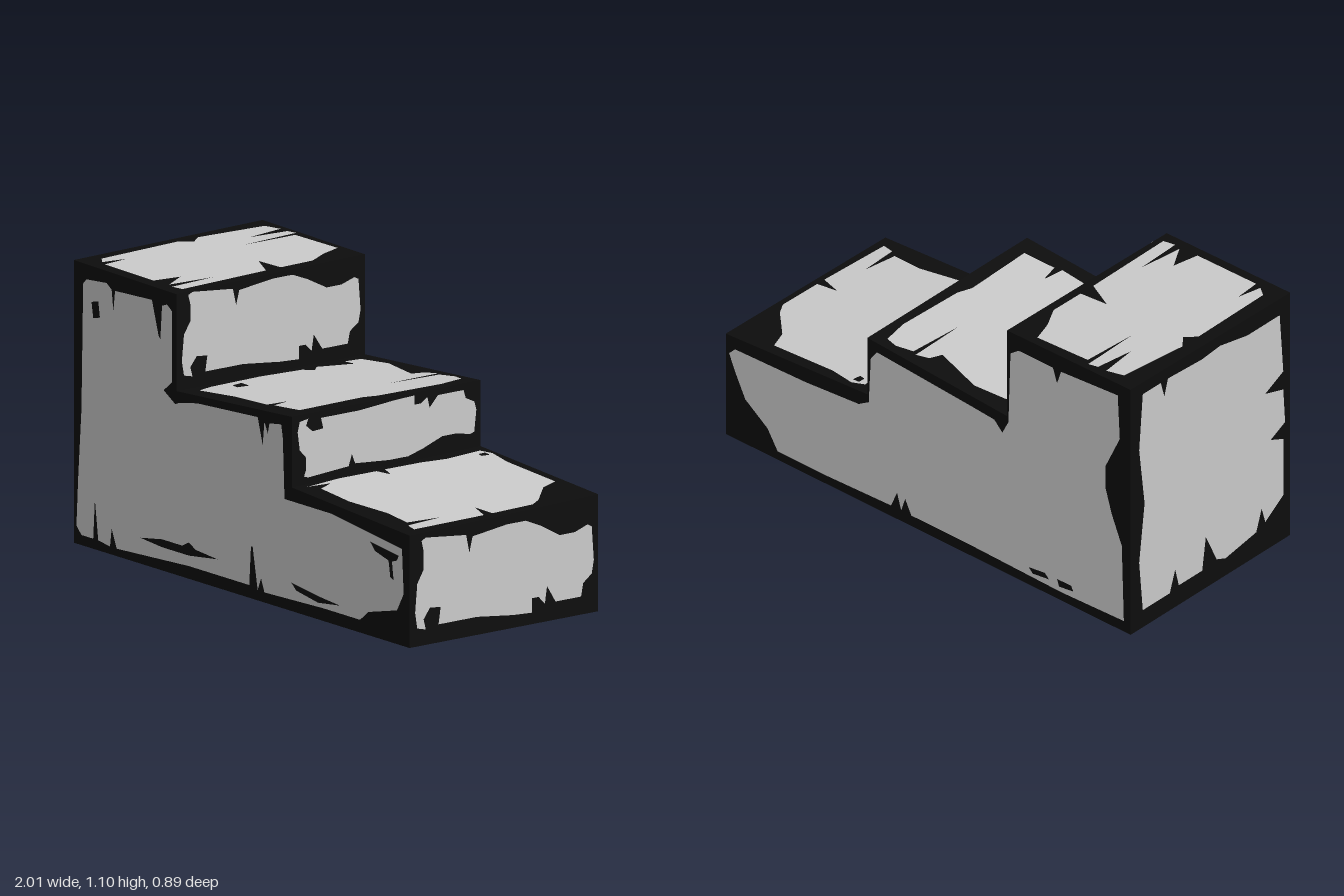
import * as THREE from 'three';

const D = 0.443;      // half depth
const LIFT = 0.004;   // painted panels sit just above the block

// Sloping treads: y = a + b*x + c*z
const treads = {
  lower: { a: 0.498, b: -0.061, c: -0.02 },
  middle: { a: 0.7226, b: 0.058, c: 0 },
  upper: { a: 1.07, b: -0.013, c: -0.014 },
};
const treadY = (t, x, z = 0) => t.a + t.b * x + t.c * z;

// Outlines are flat u,v lists in hundredths of a unit
const toPoints = list => {
  const pts = [];
  for (let i = 0; i < list.length; i += 2) pts.push(new THREE.Vector2(list[i] / 100, list[i + 1] / 100));
  return pts;
};

// Side outline in x,y with drips hanging from the edges
const frontOutline = [
  -94, 100, -92, 102, -80, 103, -77, 101, -76, 93, -75, 101, -53, 102, -49, 89, -48, 88, -47, 101,
  -44, 102, -41, 100, -41, 73, -46, 69, -39, 65, -37, 66, -26, 68, 10, 70, 13, 60, 14, 69, 16, 65,
  17, 69, 24, 70, 25, 65, 26, 42, 54, 42, 96, 37, 97, 20, 93, 13, 76, 9, 71, 5, 49, 5, 14, 4, 12, 9,
  10, 4, 7, 20, 6, 20, 5, 5, -31, 5, -74, 3, -77, 10, -78, 3, -85, 4, -87, 19, -88, 4, -95, 4,
  -98, 7, -97, 25, -95, 52,
];
const frontHoles = [
  [-89, 94, -85, 95, -84, 89, -88, 88],
  [-60, 10, -47, 12, -35, 12, -31, 14, -27, 12, -14, 11, -31, 9, -47, 9],
  [30, 11, 46, 9, 59, 8, 46, 6.5, 33, 8.5],
  [77, 36, 94, 34, 93, 32, 90, 31, 91, 24, 89, 25, 88, 31, 80, 33],
];
const backOutline = [
  98, 37, 95, 40, 60, 41, 34, 43, 29, 46, 28, 66, 25, 70, -20, 67, -33, 66, -37, 62, -40, 68, -41, 99,
  -45, 102, -62, 102, -64, 96, -66, 102, -80, 103, -94, 104, -95, 85, -88, 70, -88, 60, -91, 50,
  -96, 38, -97, 5, -66, 4, -20, 5, 8, 5, 11, 11, 13, 5, 15, 12, 18, 5, 50, 4, 74, 4, 79, 12, 90, 20, 95, 30,
];
const backHoles = [
  [-50, 8, -58, 9, -60, 7, -52, 6],
  [-64, 9, -71, 9, -72, 7, -65, 6],
];

// Riser outline in z,y, reused stretched and flipped on each step
const riserOutline = [
  39, 40, 37, 41, 18, 39, 16.5, 32, 15, 38, -1, 40, -10, 40, -17, 37, -26, 32, -33, 32, -39, 34,
  -41, 33, -42, 20, -41, 15, -37, 12, -36, 7, -24, 7, -20, 13.5, -19, 7, -16, 10, -13, 10, -13, 4.5,
  -4, 5, 13, 7, 31, 7, 30, 13.5, 35, 14, 38, 10, 37, 6, 41, 7, 42, 13, 41, 24, 38, 29, 38, 36,
];
const leftOutline = [
  -38, 104, -28, 104, -26, 97, -24, 104, -5, 103, 5, 104, 20, 101, 38, 101, 40, 75, 30, 70, 40, 67,
  41, 52, 33, 48, 40, 45, 40, 20, 30, 13, 28, 20, 25, 11, 8, 8, 3, 10, -3, 23, -5, 9, -18, 9,
  -20, 17, -23, 8, -38, 8, -40, 30, -37, 55, -40, 80,
];

// Tread outlines in x,z
const treadOutlines = {
  upper: [
    -92, -39, -85, -41, -83, -25, -81, -41, -77, -42, -76, -17, -75, -40, -51, -41, -48, -32, -43, -23,
    -43, -8, -55, -7, -43, -1, -42, 39, -47, 40, -48, 20, -50, 39, -56, 29, -58, 40, -77, 40, -87, 40,
    -88, 29, -90, 39, -94, 36, -95, -1, -91, -5, -95, -10,
  ],
  middle: [
    -32, -37, -18, -39, 3, -33, 5, -38, 10, -40, 10.5, -16, 12, -39, 19, -41, 24, -40, 26, -29, 25, 0,
    23, 6, 24, 36, 10, 37, 8, 29, 7, 38, -13, 37, -32, 39, -34, 32, -35, 8, -33, -10, -29, -13,
    -33, -17, -27, -30, -33, -30,
  ],
  lower: [
    35, -40, 40, -42, 51, -40, 80, -40, 83, -32, 94, -21, 97, -16, 97, 3, 88, 4, 97, 7, 96, 39, 91, 38,
    90, 22, 88, 36, 75, 35, 56, 38, 38, 37, 35, 30, 33.5, 40, 32, 24, 33, 7, 39, 5, 33, 3, 34, -13, 36, -24,
  ],
};
const treadHoles = {
  upper: [],
  middle: [[-31, 20, -25, 21, -26, 26, -30, 25]],
  lower: [[38, -40, 41, -40, 40.5, -36.5, 38, -37]],
};
const bottomOutline = [
  94, 36, 60, 39, 10, 40, -20, 38, -60, 40, -94, 38, -95, 10, -93, -15, -95, -38, -60, -39, -42, -36,
  -20, -39, 20, -40, 45, -38, 70, -33, 76, -24, 90, -21, 95, -12, 96, 10,
];
const bottomHoles = [
  [70, 31, 50, 27, 35, 29, 50, 31],
  [-50, 35, -62, 32, -75, 30, -64, 35],
  [-70, -10, -73, -9, -72, -6, -69, -7],
];

export function createModel() {
  const black = new THREE.MeshStandardMaterial({ color: 0x0d0d0d });
  black.name = 'black edging';
  const grey = new THREE.MeshStandardMaterial({ color: 0xcccccc, side: THREE.DoubleSide });
  grey.name = 'light grey stone';

  const model = new THREE.Group();
  model.name = 'steps';
  const { lower, middle, upper } = treads;

  // Solid stepped block, its treads tilted slightly across the depth
  const profile = new THREE.Shape([
    [-1, 0], [1, 0], [1, treadY(lower, 1)], [0.3, treadY(lower, 0.3)], [0.3, treadY(middle, 0.3)],
    [-0.39, treadY(middle, -0.39)], [-0.39, treadY(upper, -0.39)], [-1, treadY(upper, -1)],
  ].map(p => new THREE.Vector2(...p)));
  const blockGeo = new THREE.ExtrudeGeometry(profile, { depth: 2 * D, bevelEnabled: false });
  blockGeo.translate(0, 0, -D);
  const pos = blockGeo.attributes.position;
  for (let i = 0; i < pos.count; i++) {
    const y = pos.getY(i);
    if (y < 0.1) continue;
    const tread = y < 0.6 ? lower : y < 0.9 ? middle : upper;
    pos.setY(i, y + tread.c * pos.getZ(i));
  }
  blockGeo.computeVertexNormals();
  const block = new THREE.Mesh(blockGeo, black);
  block.name = 'steppedBlock';
  model.add(block);

  // Flat ragged panel; place() carries u,v onto a face of the block
  const addPanel = (name, outline, holes, place) => {
    const shape = new THREE.Shape(toPoints(outline));
    shape.holes = holes.map(h => new THREE.Path(toPoints(h)));
    const geo = new THREE.ShapeGeometry(shape);
    const p = geo.attributes.position;
    for (let i = 0; i < p.count; i++) p.setXYZ(i, ...place(p.getX(i), p.getY(i)));
    geo.computeVertexNormals();
    const mesh = new THREE.Mesh(geo, grey);
    mesh.name = name;
    model.add(mesh);
  };

  // Long sides, tall end and underside
  addPanel('frontPanel', frontOutline, frontHoles, (x, y) => [x, y, D + LIFT]);
  addPanel('backPanel', backOutline, backHoles, (x, y) => [x, y, -D - LIFT]);
  addPanel('tallEndPanel', leftOutline, [], (z, y) => [-1 - LIFT, y, z]);
  addPanel('undersidePanel', bottomOutline, bottomHoles, (x, z) => [x, -LIFT, z]);

  // Risers: x position, vertical scale and offset of the shared outline
  const risers = { lower: [1, 1, 0], middle: [0.3, -0.64, 0.761], upper: [-0.39, 0.92, 0.69] };
  for (const [name, [x, scale, offset]] of Object.entries(risers)) {
    addPanel(name + 'Riser', riserOutline, [], (z, y) => [x + LIFT, offset + scale * y, z]);
  }

  // Treads
  for (const [name, tread] of Object.entries(treads)) {
    addPanel(name + 'Tread', treadOutlines[name], treadHoles[name],
      (x, z) => [x, treadY(tread, x, z) + LIFT, z]);
  }
  return model;
}
